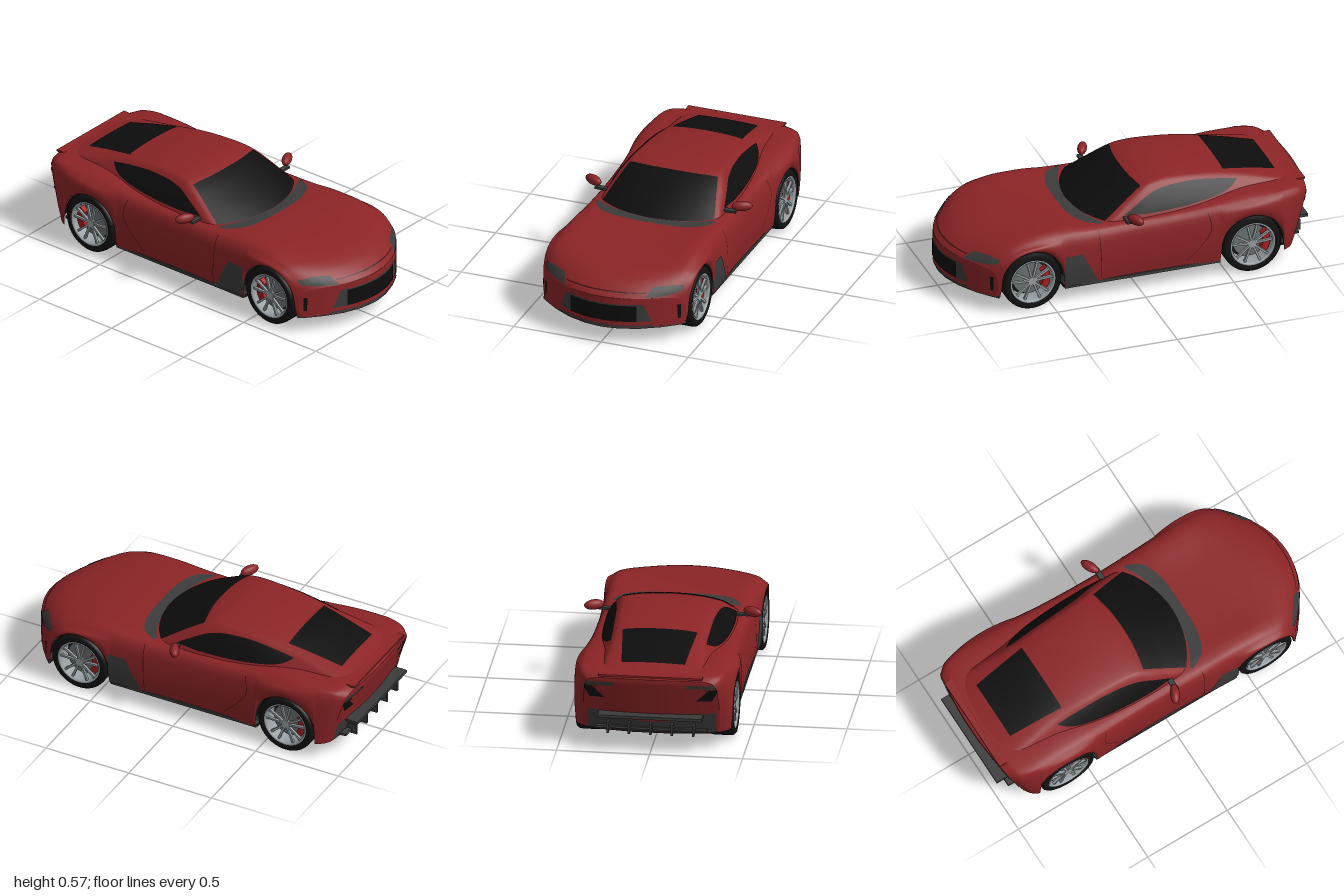
import * as THREE from 'three';

const material = (name, color) => new THREE.MeshStandardMaterial({ name, color, side: THREE.DoubleSide });
const paint = material('red paint', 0x8c2426);
const glass = material('black glass', 0x0d0d0d);
const trim = material('grey trim', 0x3b3b3b);
const rubber = material('tyre rubber', 0x121212);
const under = material('underbody', 0x222222);
const silver = material('rim silver', 0x98a0a5);
const steel = material('brake steel', 0x6c7276);
const brake = material('caliper red', 0xa81f1f);
const seam = material('panel seam', 0x3c0f11);

const clamp = (v) => Math.min(1, Math.max(0, v));
const lerp = THREE.MathUtils.lerp;

// Smooth interpolation of rows [key, ...values], keys ascending
function sample(rows, k) {
  let i = 0;
  while (i < rows.length - 2 && k > rows[i + 1][0]) i++;
  const a = rows[i], b = rows[i + 1], p = rows[i - 1] || a, n = rows[i + 2] || b;
  const h = b[0] - a[0], t = clamp((k - a[0]) / h), t2 = t * t, t3 = t2 * t;
  return a.slice(1).map((va, j) => {
    const c = j + 1;
    const ma = (b[c] - p[c]) / (b[0] - p[0]) * h, mb = (n[c] - a[c]) / (n[0] - a[0]) * h;
    return (2 * t3 - 3 * t2 + 1) * va + (t3 - 2 * t2 + t) * ma + (3 * t2 - 2 * t3) * b[c] + (t3 - t2) * mb;
  });
}

// Surface grid from fn(u, v) -> [x, y, z], or null for a hole
function grid(fn, nu, nv) {
  const pos = [], ok = [], idx = [];
  for (let i = 0; i <= nu; i++) for (let j = 0; j <= nv; j++) {
    const p = fn(i / nu, j / nv);
    ok.push(!!p);
    pos.push(...(p || [0, 0.2, 0]));
  }
  for (let i = 0; i < nu; i++) for (let j = 0; j < nv; j++) {
    const a = i * (nv + 1) + j, b = a + nv + 1;
    if (ok[a] && ok[b] && ok[a + 1] && ok[b + 1]) idx.push(a, a + 1, b, b, a + 1, b + 1);
  }
  const g = new THREE.BufferGeometry();
  g.setAttribute('position', new THREE.Float32BufferAttribute(pos, 3));
  g.setIndex(idx);
  g.computeVertexNormals();
  return g;
}

// Lower body stations: z, half width, shoulder, fender crest, centre height
const BODY = [
  [-0.995, 0.365, 0.39, 0.415, 0.425], [-0.94, 0.4, 0.415, 0.435, 0.44], [-0.8, 0.428, 0.42, 0.442, 0.445],
  [-0.6, 0.435, 0.41, 0.44, 0.445], [-0.3, 0.418, 0.385, 0.41, 0.41], [0, 0.412, 0.375, 0.4, 0.4],
  [0.25, 0.42, 0.37, 0.402, 0.4], [0.4, 0.425, 0.375, 0.412, 0.405], [0.6, 0.431, 0.375, 0.407, 0.397],
  [0.8, 0.43, 0.352, 0.372, 0.372], [0.9, 0.426, 0.32, 0.338, 0.342], [0.97, 0.418, 0.28, 0.294, 0.3],
  [1, 0.405, 0.245, 0.262, 0.272]];
const WHEELS = [0.61, -0.635], AXLE = 0.165;

// Curved nose in plan, tucked-in tail
function warp(s, x, y) {
  const f = clamp((s - 0.3) / 0.7) ** 2, r = clamp((-s - 0.81) / 0.185);
  return s - 1.2 * x * x * f + r * (0.25 * x * x + 0.28 * Math.max(0, 0.4 - y));
}
function bodyPoint(s, t) {
  const [w, ys, yf, yt] = sample(BODY, s);
  let yb = 0.098;
  const z0 = warp(s, w * 0.98, yb);
  for (const wz of WHEELS) {
    const d = 0.176 ** 2 - (z0 - wz) ** 2;
    if (d > 0) yb = Math.max(yb, AXLE + Math.sqrt(d));
  }
  const h = ys - yb;
  return sample([[0, w * 0.98, yb], [0.2, w, yb + 0.35 * h], [0.4, w * 0.988, yb + 0.75 * h], [0.55, w * 0.945, ys],
    [0.7, w * 0.82, yf], [0.85, w * 0.45, lerp(yf, yt, 0.8)], [1, 0, yt], [1.15, -w * 0.45, lerp(yf, yt, 0.8)]], t);
}

// Cabin stations: z, base half width, roof half width, roof edge height, centre height
const CABIN = [
  [-0.97, 0.3, 0.265, 0.41, 0.43], [-0.8, 0.32, 0.26, 0.452, 0.475], [-0.6, 0.345, 0.245, 0.495, 0.527],
  [-0.4, 0.362, 0.25, 0.53, 0.562], [-0.2, 0.368, 0.255, 0.545, 0.574], [-0.08, 0.368, 0.265, 0.538, 0.562],
  [0, 0.368, 0.285, 0.51, 0.535], [0.1, 0.365, 0.305, 0.465, 0.49], [0.2, 0.36, 0.325, 0.42, 0.442],
  [0.3, 0.355, 0.33, 0.38, 0.39]];
function cabinPoint(s, t) {
  const [bw, rw, ye, yt] = sample(CABIN, s), y = (k) => lerp(ye, yt, k);
  return sample([[0, bw, 0.36], [0.25, lerp(bw, rw, 0.42), lerp(0.36, ye, 0.5)], [0.5, rw, ye], [0.62, rw * 0.86, y(0.5)],
    [0.82, rw * 0.5, y(0.87)], [1, 0, yt], [1.18, -rw * 0.5, y(0.87)]], t);
}

// Mirrored loft along z
const loft = (point, z, s0, s1, nu, nv) => grid((u, v) => {
  const s = lerp(s0, s1, u), m = 2 * v - 1, [x, y] = point(s, 1 - Math.abs(m));
  return [Math.sign(m) * x, y, z(s, x, y)];
}, nu, nv);

export function createModel() {
  const car = new THREE.Group();
  car.name = 'sportsCar';
  const add = (name, geo, mat, x = 0, y = 0, z = 0, parent = car) => {
    const m = new THREE.Mesh(geo, mat);
    m.name = name;
    m.position.set(x, y, z);
    parent.add(m);
    return m;
  };

  // Painted shell
  const body = add('body', loft(bodyPoint, warp, 1, -0.995, 180, 40), paint);
  const cap = (s) => grid((u, t) => {
    const [x, y] = bodyPoint(s, t), px = lerp(-x, x, u);
    return [px, y, warp(s, px, y)];
  }, 28, 20);
  const nose = add('noseFascia', cap(1), paint);
  const tail = add('tailFascia', cap(-0.995), paint);
  const cabin = add('cabin', loft(cabinPoint, (s, x) => s - x * x * clamp((s + 0.3) / 0.6), 0.3, -0.97, 90, 48), paint);
  const shell = [body, nose, tail];

  // Thin plate between two edge lines, projected onto the shell along dir
  const ray = new THREE.Raycaster();
  function plate(name, mat, targets, dir, edgeA, edgeB, nu = 12, nv = 6, lift = 0.004) {
    const d = new THREE.Vector3(...dir);
    const [ca, cb] = [edgeA, edgeB].map((e) => new THREE.CatmullRomCurve3(e.map((p) => new THREE.Vector3(...p))));
    add(name, grid((u, v) => {
      const p = ca.getPoint(u).lerp(cb.getPoint(u), v).addScaledVector(d, -2);
      ray.set(p, d);
      const hit = ray.intersectObjects(targets, false)[0];
      if (!hit) return null;
      const n = hit.face.normal.clone();
      if (n.dot(d) > 0) n.negate();
      return hit.point.addScaledVector(n, lift).toArray();
    }, nu, nv), mat);
  }
  const DOWN = [0, -1, 0], BACK = [0, 0, -1], FORE = [0, 0, 1];
  const xz = (pts) => pts.map(([x, z]) => [x, 0, z]);
  const xy = (pts) => pts.map(([x, y]) => [x, y, 0]);
  const zy = (pts) => pts.map(([z, y]) => [0, y, z]);

  // Glass and cowl
  plate('windshield', glass, [cabin], DOWN, xz([[-0.322, 0.175], [-0.17, 0.25], [0, 0.278], [0.17, 0.25], [0.322, 0.175]]),
    xz([[-0.25, -0.06], [-0.13, -0.037], [0, -0.03], [0.13, -0.037], [0.25, -0.06]]), 32, 16);
  plate('rearWindow', glass, [cabin], DOWN, xz([[-0.2, -0.54], [0.2, -0.54]]), xz([[-0.17, -0.845], [0.17, -0.845]]), 24, 14);
  plate('cowl', trim, [body, cabin], DOWN,
    xz([[-0.345, 0.2], [-0.3, 0.275], [-0.2, 0.322], [0, 0.335], [0.2, 0.322], [0.3, 0.275], [0.345, 0.2]]),
    xz([[-0.335, 0.185], [-0.27, 0.222], [-0.17, 0.255], [0, 0.28], [0.17, 0.255], [0.27, 0.222], [0.335, 0.185]]), 40, 6, 0.003);

  // Grille, lower intake and hood seam
  plate('grilleSurround', trim, shell, BACK, xy([[-0.26, 0.135], [0.26, 0.135]]), xy([[-0.22, 0.236], [0.22, 0.236]]), 28, 6, 0.003);
  plate('grille', glass, shell, BACK, xy([[-0.188, 0.137], [0.188, 0.137]]), xy([[-0.188, 0.23], [0.188, 0.23]]), 24, 6, 0.006);
  plate('lowerIntake', trim, shell, BACK, xy([[-0.28, 0.102], [0.28, 0.102]]), xy([[-0.26, 0.114], [0.26, 0.114]]), 24, 2);
  plate('hoodSeam', seam, shell, BACK, xy([[-0.23, 0.291], [0, 0.294], [0.23, 0.291]]),
    xy([[-0.23, 0.295], [0, 0.299], [0.23, 0.295]]), 28, 1, 0.002);

  // Tail: lower trim, lip and diffuser
  plate('rearLowerTrim', trim, shell, FORE, xy([[-0.345, 0.104], [0.345, 0.104]]),
    xy([[-0.345, 0.225], [-0.22, 0.205], [-0.15, 0.175], [0.15, 0.175], [0.22, 0.205], [0.345, 0.225]]), 32, 6);
  add('rearLip', new THREE.BoxGeometry(0.56, 0.016, 0.07), trim, 0, 0.205, -0.963);
  add('diffuser', new THREE.BoxGeometry(0.6, 0.012, 0.2), trim, 0, 0.112, -0.84).rotation.x = 0.12;
  for (let i = -2; i <= 2; i++) add('diffuserFin', new THREE.BoxGeometry(0.012, 0.06, 0.14), trim, i * 0.115, 0.13, -0.9);
  add('spoilerLip', new THREE.BoxGeometry(0.56, 0.01, 0.05), paint, 0, 0.433, -0.955);

  for (const m of [1, -1]) {
    const IN = [-m, 0, 0], side = (pts) => xy(pts.map(([x, y]) => [m * x, y]));

    // Side glass, lamps, vents and seams
    plate('sideWindow', glass, [cabin], IN, zy([[0.06, 0.42], [-0.1, 0.415], [-0.35, 0.425], [-0.54, 0.452], [-0.6, 0.483]]),
      zy([[0.05, 0.43], [-0.12, 0.512], [-0.33, 0.526], [-0.5, 0.505], [-0.6, 0.486]]), 28, 8);
    plate('headlight', trim, shell, BACK, side([[0.39, 0.287], [0.33, 0.275], [0.23, 0.27]]),
      side([[0.39, 0.31], [0.33, 0.318], [0.25, 0.314]]), 16, 6);
    plate('bumperVent', glass, shell, BACK, side([[0.374, 0.135], [0.386, 0.135]]), side([[0.37, 0.215], [0.386, 0.215]]), 3, 6);
    plate('tailLight', trim, shell, FORE, side([[0.19, 0.38], [0.345, 0.372]]), side([[0.2, 0.4], [0.345, 0.393]]), 10, 3);
    plate('rearVent', glass, shell, IN, zy([[-0.94, 0.3], [-0.952, 0.3]]), zy([[-0.953, 0.37], [-0.962, 0.37]]), 3, 6);
    plate('fenderPanel', trim, shell, IN, zy([[0.432, 0.1], [0.235, 0.1]]), zy([[0.43, 0.28], [0.33, 0.28]]), 12, 12);
    plate('doorFrontSeam', seam, shell, IN, zy([[0.22, 0.11], [0.23, 0.385]]), zy([[0.216, 0.11], [0.226, 0.385]]), 16, 1, 0.002);
    plate('doorRearSeam', seam, shell, IN, zy([[-0.26, 0.13], [-0.35, 0.22], [-0.4, 0.3], [-0.385, 0.39]]),
      zy([[-0.264, 0.13], [-0.354, 0.22], [-0.404, 0.3], [-0.389, 0.39]]), 16, 1, 0.002);
    add('sill', new THREE.BoxGeometry(0.04, 0.018, 0.88), trim, m * 0.392, 0.093, -0.015);

    // Door mirror
    const pod = add('mirror', new THREE.SphereGeometry(1, 24, 16), paint, m * 0.426, 0.437, 0.03);
    pod.scale.set(0.056, 0.028, 0.026);
    pod.rotation.y = m * 0.45;
    add('mirrorArm', new THREE.BoxGeometry(0.08, 0.012, 0.03), trim, m * 0.365, 0.411, 0.055);

    // Wheels with arches and brakes
    for (const wz of WHEELS) {
      const arch = new THREE.CylinderGeometry(0.173, 0.173, 0.15, 32, 1, true, 0, Math.PI).rotateZ(Math.PI / 2);
      add('wheelArch', arch, glass, m * 0.343, AXLE, wz);
      add('archWall', new THREE.CircleGeometry(0.173, 32, 0, Math.PI).rotateY(Math.PI / 2), glass, m * 0.268, AXLE, wz);
      const wheel = new THREE.Group();
      wheel.name = 'wheel';
      wheel.position.set(m * 0.355, AXLE, wz);
      wheel.rotation.y = m > 0 ? 0 : Math.PI;
      car.add(wheel);
      const lathe = (pts) => new THREE.LatheGeometry(pts.map((p) => new THREE.Vector2(...p)), 48).rotateZ(-Math.PI / 2);
      const disc = (r, d) => new THREE.CylinderGeometry(r, r, d, 36).rotateZ(Math.PI / 2);
      add('tyre', lathe([[0.124, -0.066], [0.152, -0.07], [0.162, -0.061], [0.165, -0.04], [0.165, 0.04], [0.162, 0.06],
        [0.152, 0.07], [0.126, 0.066]]), rubber, 0, 0, 0, wheel);
      add('rim', lathe([[0.128, 0.064], [0.124, 0.069], [0.117, 0.066], [0.113, 0.055], [0.113, -0.06], [0.124, -0.066]]), silver, 0, 0, 0, wheel);
      add('wheelBack', disc(0.113, 0.006), rubber, -0.03, 0, 0, wheel);
      add('brakeDisc', disc(0.095, 0.01), steel, 0.005, 0, 0, wheel);
      add('hub', disc(0.024, 0.02), silver, 0.05, 0, 0, wheel);
      for (let i = 0; i < 5; i++) for (const d of [-1, 1]) {
        const spoke = new THREE.BoxGeometry(0.014, 0.1, 0.012).translate(0, 0.066, 0).rotateX(i * Math.PI * 0.4 + d * 0.24);
        add('spoke', spoke, silver, 0.052, 0, 0, wheel);
      }
      const pad = new THREE.Shape();
      pad.absarc(0, 0, 0.106, -0.65, 0.65, false);
      pad.absarc(0, 0, 0.068, 0.65, -0.65, true);
      const caliper = new THREE.ExtrudeGeometry(pad, { depth: 0.034, bevelEnabled: false }).translate(0, 0, -0.017).rotateY(Math.PI / 2);
      add('caliper', caliper, brake, m * 0.379, AXLE, wz);
    }
  }

  // Floor and front splitter, drawn in plan
  const slab = (half, depth) => {
    const pts = [...half, ...half.map(([x, z]) => [-x, z]).reverse()].map((p) => new THREE.Vector2(...p));
    return new THREE.ExtrudeGeometry(new THREE.Shape(pts), { depth, bevelEnabled: false }).rotateX(Math.PI / 2);
  };
  add('floor', slab([[0.1, 0.97], [0.2, 0.93], [0.33, 0.84], [0.38, 0.795], [0.27, 0.79], [0.27, 0.43], [0.4, 0.43], [0.4, -0.46],
    [0.27, -0.46], [0.27, -0.815], [0.345, -0.82], [0.34, -0.87], [0.1, -0.9]], 0.014), under, 0, 0.1, 0);
  const lip = [0.02, 0.1, 0.2, 0.3, 0.37, 0.41].map((x) => [x, 1 - 1.2 * x * x]);
  add('splitter', slab([...lip, [0.4, 0.79], [0.3, 0.82], [0.05, 0.9]], 0.012), trim, 0, 0.104, 0);
  return car;
}
